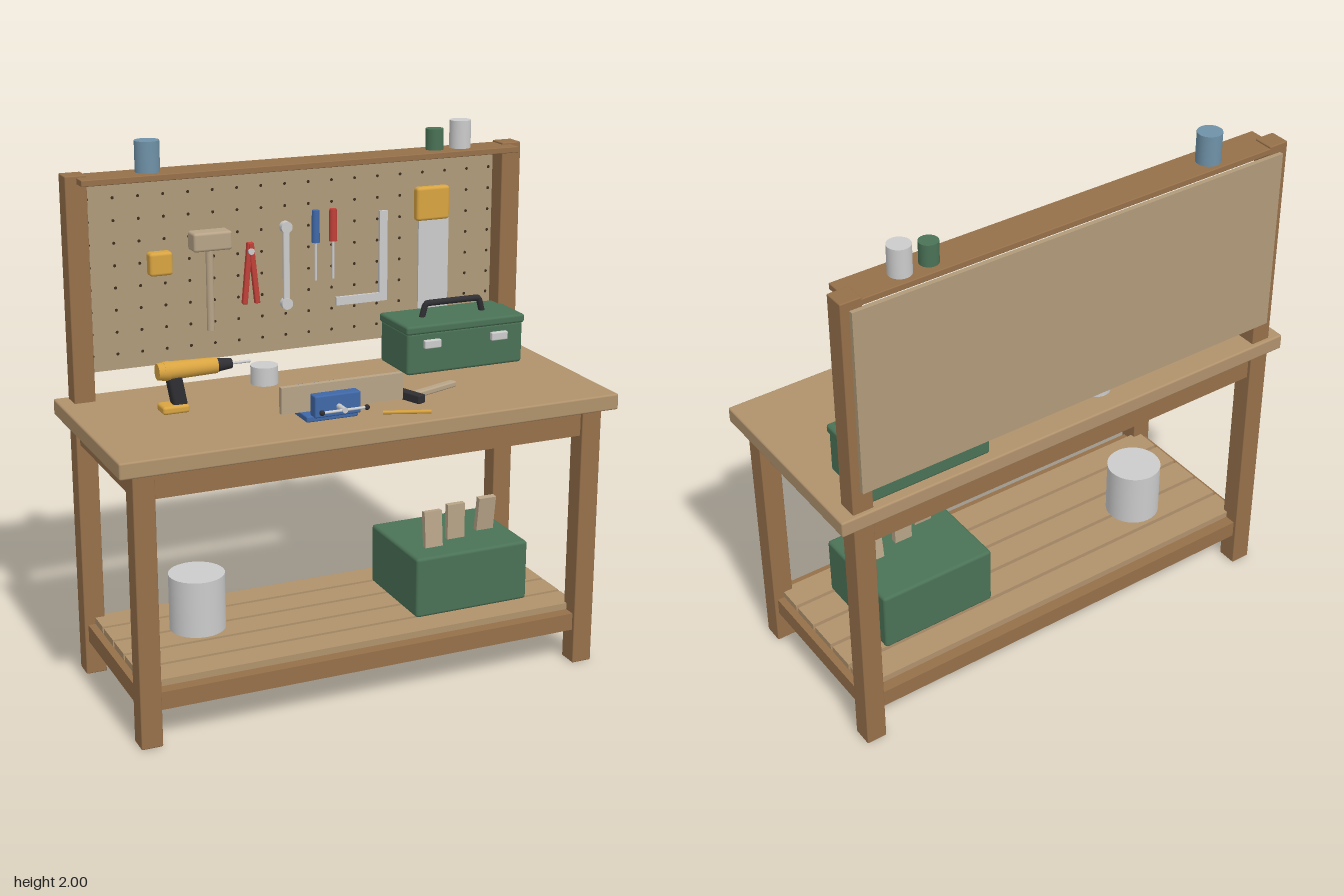
import * as THREE from 'three';
import { RoundedBoxGeometry } from 'three/addons/geometries/RoundedBoxGeometry.js';

const mat = (color) => new THREE.MeshStandardMaterial({ color });
const M = {
  frame: mat(0x96704a), top: mat(0xb0926c), peg: mat(0xb09a7a), pale: mat(0xb8a488),
  green: mat(0x4a7256), blue: mat(0x3f68a8), yellow: mat(0xd9a441), red: mat(0xc04038),
  dark: mat(0x2f2f33), grey: mat(0xcccccc), paint: mat(0x6f92a8), hole: mat(0x3a2c1e),
};

function add(parent, name, geometry, material, x = 0, y = 0, z = 0) {
  const mesh = new THREE.Mesh(geometry, material);
  mesh.name = name;
  mesh.position.set(x, y, z);
  parent.add(mesh);
  return mesh;
}

// box given by its limits on each axis, with an optional rounded edge
function box(parent, name, material, [x0, x1], [y0, y1], [z0, z1], r = 0) {
  const s = [x1 - x0, y1 - y0, z1 - z0];
  const g = r ? new RoundedBoxGeometry(...s, 2, r) : new THREE.BoxGeometry(...s);
  return add(parent, name, g, material, (x0 + x1) / 2, (y0 + y1) / 2, (z0 + z1) / 2);
}

// cylinder running between two points
function rod(parent, name, material, a, b, r0, r1 = r0, sides = 20) {
  const p = new THREE.Vector3(...a), q = new THREE.Vector3(...b);
  const d = q.clone().sub(p);
  const mesh = add(parent, name, new THREE.CylinderGeometry(r1, r0, d.length(), sides), material);
  mesh.position.copy(p).add(q).multiplyScalar(0.5);
  mesh.quaternion.setFromUnitVectors(new THREE.Vector3(0, 1, 0), d.normalize());
  return mesh;
}

function group(parent, name) {
  const g = new THREE.Group();
  g.name = name;
  parent.add(g);
  return g;
}

function buildBench(root) {
  const g = group(root, 'bench');
  for (const s of [-1, 1]) {
    const x = s < 0 ? [-0.902, -0.823] : [0.823, 0.902];
    box(g, 'frontLeg', M.frame, x, [0, 1.015], [0.283, 0.362], 0.004);
    box(g, 'backPost', M.frame, x, [0, 1.895], [-0.376, -0.297], 0.004);
    const inner = s < 0 ? [-0.888, -0.838] : [0.838, 0.888];
    box(g, 'sideApron', M.frame, inner, [0.913, 1.012], [-0.3, 0.29]);
    box(g, 'sideStretcher', M.frame, inner, [0.133, 0.2], [-0.3, 0.29]);
  }
  for (const z of [[0.298, 0.348], [-0.362, -0.312]]) {
    box(g, 'longApron', M.frame, [-0.83, 0.83], [0.913, 1.012], z);
    box(g, 'longStretcher', M.frame, [-0.83, 0.83], [0.133, 0.2], z);
  }
  box(g, 'tabletop', M.top, [-0.955, 0.955], [1.01, 1.07], [-0.392, 0.392], 0.007);
  for (let i = -2; i <= 2; i++) {
    const z = -0.008 + i * 0.127;
    box(g, 'shelfSlat', M.top, [-0.86, 0.86], [0.2, 0.225], [z - 0.056, z + 0.056]);
  }
  box(g, 'topShelf', M.frame, [-0.86, 0.86], [1.865, 1.888], [-0.376, -0.238], 0.003);
}

function buildPegboard(root) {
  const g = group(root, 'pegboard');
  box(g, 'pegPanel', M.peg, [-0.87, 0.87], [1.156, 1.862], [-0.392, -0.374]);
  // rows of small dark holes
  const holes = new THREE.InstancedMesh(new THREE.CircleGeometry(0.006, 8), M.hole, 18 * 8);
  holes.name = 'pegHoles';
  const m = new THREE.Matrix4();
  for (let i = 0; i < 18; i++) for (let j = 0; j < 8; j++) {
    holes.setMatrixAt(i * 8 + j, m.makeTranslation(-0.805 + i * 0.0947, 1.215 + j * 0.0825, -0.373));
  }
  g.add(holes);
}

function buildHangingTools(root) {
  const g = group(root, 'hangingTools');
  box(g, 'tapeMeasure', M.yellow, [-0.592, -0.504], [1.5, 1.587], [-0.374, -0.325], 0.012);
  box(g, 'malletHead', M.pale, [-0.432, -0.283], [1.58, 1.65], [-0.374, -0.3], 0.01);
  rod(g, 'malletHandle', M.pale, [-0.358, 1.273, -0.345], [-0.358, 1.59, -0.345], 0.014);
  // pliers: two mirrored arms
  for (const s of [-1, 1]) {
    const arm = box(g, 'pliersArm', M.red, [-0.01, 0.01], [-0.117, 0.117], [-0.01, 0.01], 0.004);
    arm.position.set(-0.193 + s * 0.013, 1.471, -0.358 + s * 0.002);
    arm.rotation.z = s * 0.1;
  }
  rod(g, 'pliersPivot', M.grey, [-0.193, 1.555, -0.37], [-0.193, 1.555, -0.342], 0.012);
  // wrench
  box(g, 'wrenchShaft', M.grey, [-0.063, -0.037], [1.34, 1.635], [-0.365, -0.35], 0.005);
  for (const y of [1.34, 1.632]) {
    rod(g, 'wrenchEnd', M.grey, [-0.05, y, -0.37], [-0.05, y, -0.345], 0.022);
  }
  // screwdrivers
  for (const [x, m] of [[0.067, M.blue], [0.138, M.red]]) {
    rod(g, 'screwdriverHandle', m, [x, 1.565, -0.35], [x, 1.687, -0.35], 0.016, 0.014);
    rod(g, 'screwdriverShaft', M.grey, [x, 1.42, -0.35], [x, 1.57, -0.35], 0.005);
  }
  // carpenter's square
  const sq = new THREE.Shape([[0.155, 1.31], [0.368, 1.31], [0.368, 1.66], [0.335, 1.66], [0.335, 1.342], [0.155, 1.342]]
    .map((p) => new THREE.Vector2(...p)));
  add(g, 'square', new THREE.ExtrudeGeometry(sq, { depth: 0.012, bevelEnabled: false }), M.grey, 0, 0, -0.368);
  // hand saw
  box(g, 'sawBlade', M.grey, [0.5, 0.628], [1.2, 1.62], [-0.364, -0.356]);
  box(g, 'sawHandle', M.yellow, [0.483, 0.622], [1.61, 1.74], [-0.374, -0.335], 0.012);
}

function buildToolbox(root) {
  const g = group(root, 'toolbox');
  box(g, 'toolboxBody', M.green, [0.343, 0.836], [1.07, 1.235], [-0.358, -0.122], 0.012);
  box(g, 'toolboxLid', M.green, [0.338, 0.842], [1.228, 1.262], [-0.363, -0.117], 0.01);
  for (const x of [0.444, 0.729]) {
    box(g, 'latch', M.grey, [x - 0.035, x + 0.035], [1.172, 1.205], [-0.125, -0.105], 0.005);
  }
  const path = new THREE.CatmullRomCurve3([[0.46, 1.255], [0.475, 1.309], [0.5, 1.313], [0.68, 1.313], [0.705, 1.309], [0.72, 1.255]]
    .map(([x, y]) => new THREE.Vector3(x, y, -0.24)), false, 'catmullrom', 0.2);
  add(g, 'toolboxHandle', new THREE.TubeGeometry(path, 40, 0.012, 10), M.dark);
}

function buildDrill(root) {
  const g = group(root, 'drill');
  const y = 1.222, z = -0.072;
  rod(g, 'drillBody', M.yellow, [-0.64, y, z], [-0.44, y, z], 0.034, 0.029, 24);
  rod(g, 'drillRear', M.yellow, [-0.662, y, z], [-0.62, y, z], 0.03, 0.036, 24);
  rod(g, 'drillChuck', M.dark, [-0.44, y, z], [-0.383, y, z], 0.025, 0.018);
  rod(g, 'drillBit', M.grey, [-0.385, y, z], [-0.31, y, z], 0.005);
  const grip = box(g, 'drillGrip', M.dark, [-0.027, 0.027], [-0.062, 0.062], [-0.025, 0.025], 0.012);
  grip.position.set(-0.592, 1.145, z);
  grip.rotation.z = 0.18;
  box(g, 'drillBattery', M.yellow, [-0.655, -0.555], [1.07, 1.1], [z - 0.038, z + 0.038], 0.01);
}

function buildVise(root) {
  const g = group(root, 'vise');
  box(g, 'viseBase', M.blue, [-0.225, -0.028], [1.07, 1.092], [0.075, 0.245], 0.005);
  box(g, 'viseFixedJaw', M.blue, [-0.21, -0.035], [1.085, 1.175], [0.117, 0.165], 0.006);
  box(g, 'viseMovingJaw', M.blue, [-0.21, -0.035], [1.095, 1.175], [0.237, 0.284], 0.006);
  for (const x of [-0.17, -0.07]) rod(g, 'viseGuide', M.grey, [x, 1.11, 0.12], [x, 1.11, 0.27], 0.008);
  rod(g, 'viseScrew', M.grey, [-0.12, 1.13, 0.1], [-0.12, 1.13, 0.34], 0.01);
  rod(g, 'viseBar', M.grey, [-0.205, 1.13, 0.333], [-0.035, 1.13, 0.333], 0.005);
  for (const x of [-0.205, -0.035]) add(g, 'viseBarEnd', new THREE.SphereGeometry(0.01, 14, 10), M.dark, x, 1.13, 0.333);
  box(g, 'clampedBoard', M.pale, [-0.297, 0.173], [1.093, 1.19], [0.168, 0.19]);
}

function buildLooseItems(root) {
  const g = group(root, 'looseItems');
  // hammer lying on the tabletop
  const hammer = group(g, 'hammer');
  hammer.position.set(0.222, 1.086, 0.15);
  hammer.rotation.y = 0.35;
  box(hammer, 'hammerHead', M.dark, [-0.018, 0.018], [-0.016, 0.016], [-0.06, 0.06], 0.005);
  box(hammer, 'hammerHandle', M.pale, [0.01, 0.232], [-0.011, 0.011], [-0.016, 0.016], 0.006);
  rod(g, 'pencil', M.yellow, [0.06, 1.077, 0.262], [0.222, 1.077, 0.322], 0.007, 0.007, 6);
  // cans, cup and bucket: x, z, radius, bottom, top
  for (const [name, m, x, z, r, y0, y1] of [
    ['blueCan', M.paint, -0.595, -0.314, 0.045, 1.888, 2],
    ['greenCan', M.green, 0.54, -0.314, 0.034, 1.888, 1.967],
    ['greyCan', M.grey, 0.648, -0.314, 0.041, 1.888, 1.993],
    ['cup', M.grey, -0.18, -0.265, 0.052, 1.07, 1.14],
    ['bucket', M.grey, -0.535, -0.07, 0.105, 0.225, 0.44],
  ]) rod(g, name, m, [x, y0, z], [x, y1, z], r, r, 32);
  // storage box with offcuts standing in it
  box(g, 'storageBox', M.green, [0.235, 0.703], [0.225, 0.462], [-0.2, 0.2], 0.012);
  for (const [x, z, tilt] of [[0.351, 0.095, -0.1], [0.467, 0.052, 0], [0.611, 0.02, 0.14]]) {
    const stick = box(g, 'offcut', M.pale, [-0.036, 0.036], [-0.1, 0.1], [-0.0115, 0.0115]);
    stick.position.set(x, 0.5, z);
    stick.rotation.x = tilt;
  }
}

export function createModel() {
  const root = new THREE.Group();
  root.name = 'workbench';
  for (const build of [buildBench, buildPegboard, buildHangingTools, buildToolbox, buildDrill, buildVise, buildLooseItems]) build(root);
  return root;
}
